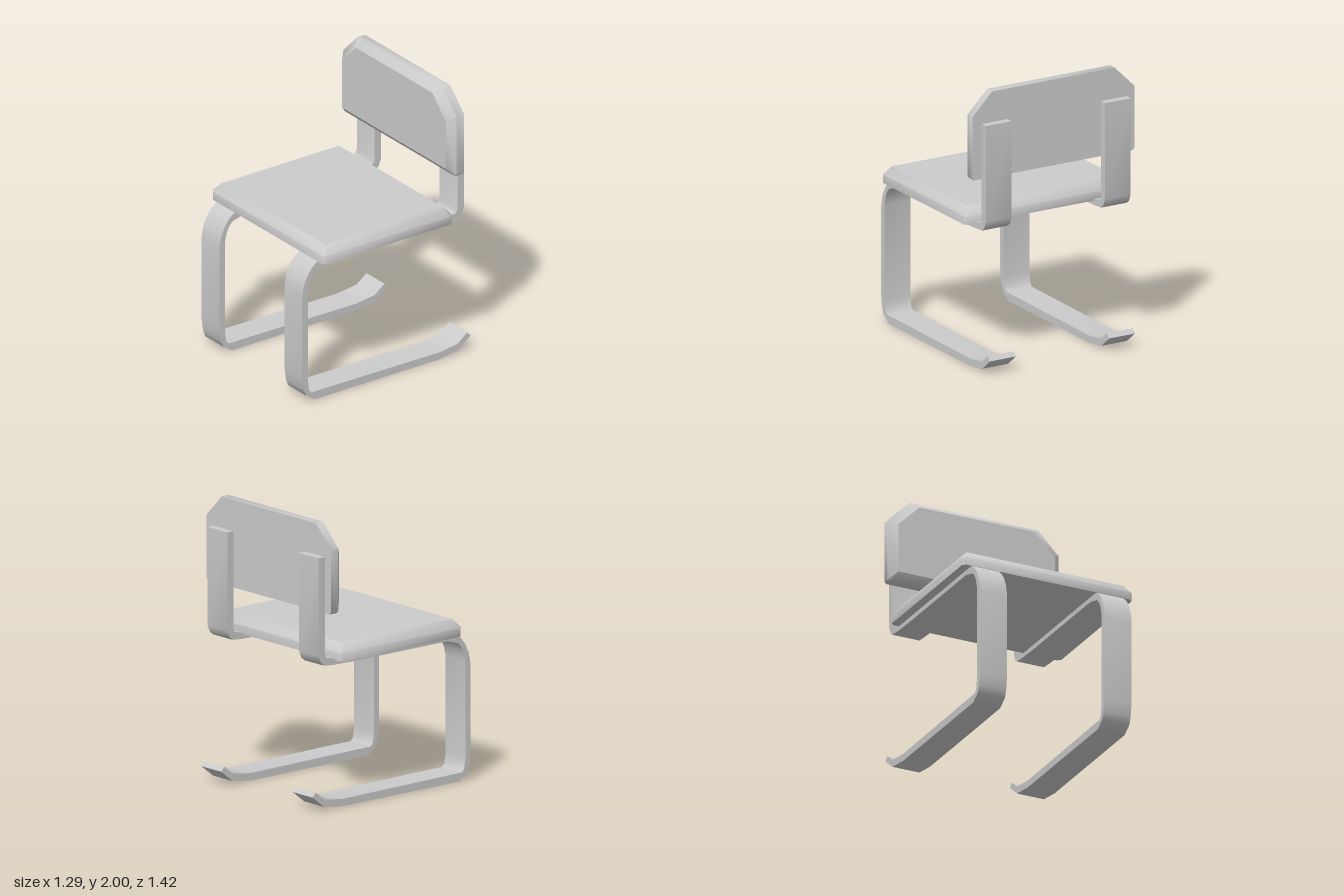
import * as THREE from 'three';
import { toCreasedNormals, mergeGeometries } from 'three/addons/utils/BufferGeometryUtils.js';

const material = new THREE.MeshStandardMaterial({ color: 0xcccccc });

// Counter-clockwise rectangle with chamfered lower (c) and upper (d) corners
function outline(x0, x1, y0, y1, c, d) {
  return [
    [x0 + c, y0], [x1 - c, y0], [x1, y0 + c], [x1, y1 - d],
    [x1 - d, y1], [x0 + d, y1], [x0, y1 - d], [x0, y0 + c],
  ];
}

// Cushion facing +z: straight wall from z0 to z1, bevel from z1 to z2, flat caps
function pad(outer, inner, z0, z1, z2) {
  const rings = [[outer, z0], [outer, z1], [inner, z2]];
  const n = outer.length;
  const walls = [];
  for (let r = 0; r < 2; r++) {
    for (let i = 0; i < n; i++) {
      const j = (i + 1) % n;
      const at = (ring, k) => [...rings[ring][0][k], rings[ring][1]];
      const a = at(r, i), b = at(r, j), c = at(r + 1, j), d = at(r + 1, i);
      walls.push(...a, ...b, ...c, ...a, ...c, ...d);
    }
  }
  const wall = new THREE.BufferGeometry();
  wall.setAttribute('position', new THREE.Float32BufferAttribute(walls, 3));

  const cap = (ring, z, flip) => {
    const points = [];
    for (let i = 1; i < n - 1; i++) {
      for (const k of flip ? [0, i + 1, i] : [0, i, i + 1]) points.push(...ring[k], z);
    }
    const g = new THREE.BufferGeometry();
    g.setAttribute('position', new THREE.Float32BufferAttribute(points, 3));
    g.computeVertexNormals();
    return g;
  };
  return mergeGeometries([toCreasedNormals(wall, 0.9), cap(outer, z0, true), cap(inner, z2, false)]);
}

export function createModel() {
  const model = new THREE.Group();
  model.name = 'cantileverChair';
  const add = (geometry, name) => {
    const mesh = new THREE.Mesh(geometry, material);
    mesh.name = name;
    model.add(mesh);
    return mesh;
  };

  // Seat cushion, laid flat
  const seat = pad(
    outline(-0.65, 0.645, -0.587, 0.51, 0.022, 0.022),
    outline(-0.6, 0.595, -0.535, 0.46, 0.004, 0.004),
    1.04, 1.1, 1.16);
  seat.rotateX(-Math.PI / 2);
  add(seat, 'seat');

  // Backrest with large upper chamfers
  add(pad(
    outline(-0.65, 0.645, 1.385, 2.0, 0.015, 0.158),
    outline(-0.6, 0.595, 1.44, 1.955, 0.004, 0.16),
    -0.6, -0.535, -0.485), 'backrest');

  // Bent strap profile in (z, y): outer edge down the front and along the floor, then back inside
  const strap = [
    [-0.6, 1.78], [-0.6, 1.1], [-0.587, 1.07], [-0.513, 1.053], [-0.4, 1.043],
    [0.5, 1.043], [0.59, 1.037], [0.635, 1.0], [0.665, 0.96], [0.695, 0.9], [0.707, 0.85], [0.714, 0.8],
    [0.714, 0.2], [0.7, 0.1], [0.68, 0.05], [0.61, 0.003],
    [-0.445, 0.003], [-0.605, 0.025], [-0.71, 0.108], [-0.682, 0.138],
    [-0.6, 0.076], [-0.445, 0.055], [0.5, 0.062], [0.635, 0.062], [0.655, 0.085], [0.667, 0.16],
    [0.667, 0.84], [0.65, 0.91], [0.628, 0.95], [0.6, 0.978], [0.5, 1.005],
    [-0.345, 1.005], [-0.52, 1.01], [-0.605, 1.017], [-0.633, 1.04], [-0.653, 1.09], [-0.655, 1.78],
  ];
  const width = 0.206;
  const strapGeometry = new THREE.ExtrudeGeometry(
    new THREE.Shape(strap.map(([z, y]) => new THREE.Vector2(z, y))),
    { depth: width, bevelEnabled: false });
  strapGeometry.translate(0, 0, -width / 2);
  strapGeometry.rotateY(-Math.PI / 2);
  const frame = toCreasedNormals(strapGeometry, 0.75);
  for (const [name, x] of [['rightFrame', -0.483], ['leftFrame', 0.468]]) {
    add(frame, name).position.x = x;
  }

  return model;
}
